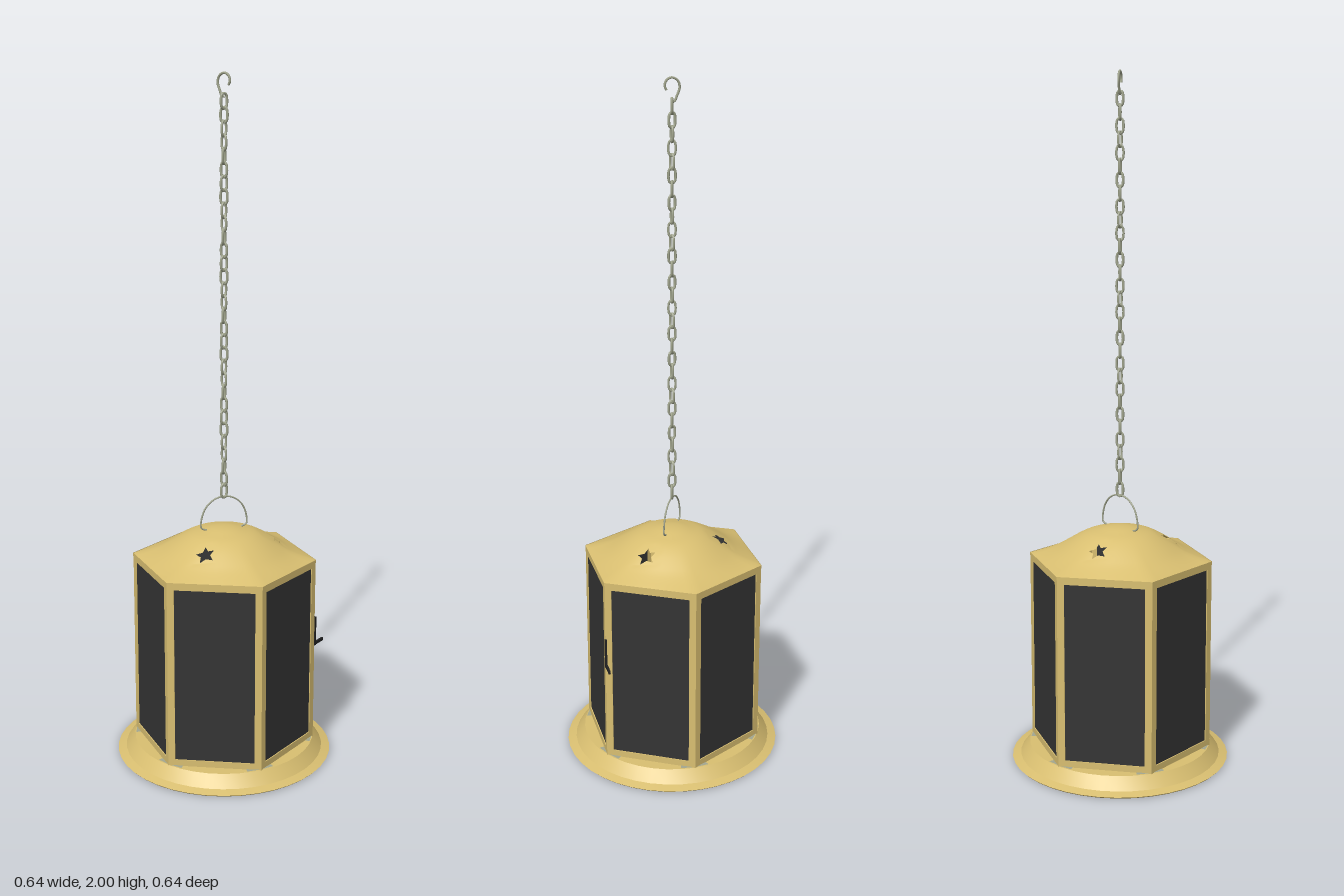
import * as THREE from 'three';
import { mergeVertices, toCreasedNormals } from 'three/addons/utils/BufferGeometryUtils.js';

const mat = (name, color, side = THREE.FrontSide) => {
  const m = new THREE.MeshStandardMaterial({ color, side });
  m.name = name;
  return m;
};
const V = (x, y) => new THREE.Vector2(x, y);
const R = 0.271, APOTHEM = R * Math.cos(Math.PI / 6);

// Roof height by fraction of the way from the centre to the hexagonal eave
const roofProfile = new THREE.CatmullRomCurve3(
  [0.704, 0.702, 0.695, 0.687, 0.672, 0.653, 0.634, 0.62, 0.609].map((y, i) => new THREE.Vector3(i / 8, y, 0)));

// Maps (angle, fraction) to the roof surface, round in the middle and hexagonal at the eave
function roofPoint(a, t) {
  const sector = Math.PI / 3;
  const local = ((a % sector) + sector) % sector - sector / 2;
  const hex = APOTHEM / Math.cos(local);
  const r = t * THREE.MathUtils.lerp(0.253, hex, t ** 4);
  const y = roofProfile.getPoint(Math.min(1, Math.max(0, t))).y;
  return [r * Math.cos(a), y, r * Math.sin(a)];
}

// Roof shell laid out flat as cells, with three star holes, then bent into shape
function roofGeometry() {
  const NA = 72, NT = 20, da = Math.PI * 2 / NA, dt = 1 / NT, half = 3, t0 = 11;
  const starCells = [9, 33, 57];
  const shapes = [];
  for (let i = 0; i < NA; i++) for (let j = 0; j < NT; j++) {
    const inStar = starCells.some(s => i >= s - half && i < s + half) && j >= t0 - half && j < t0 + half;
    if (inStar) continue;
    shapes.push(new THREE.Shape([V(i, j), V(i + 1, j), V(i + 1, j + 1), V(i, j + 1)].map(p => V(p.x * da, p.y * dt))));
  }
  for (const s of starCells) {
    const edge = [];
    for (let k = -half; k < half; k++) edge.push(V(k, -half));
    const outline = [];
    for (let side = 0; side < 4; side++) {
      const c = [1, 0, -1, 0][side], n = [0, 1, 0, -1][side];
      edge.forEach(p => outline.push(V((s + p.x * c - p.y * n) * da, (t0 + p.x * n + p.y * c) * dt)));
    }
    const patch = new THREE.Shape(outline);
    const star = [];
    for (let k = 0; k < 10; k++) {
      const r = k % 2 ? 0.0135 : 0.028, a = k * Math.PI / 5 + 0.1;
      star.push(V(s * da + r * Math.cos(a) / 0.143, (t0 + 0.4) * dt + r * Math.sin(a) / 0.26));
    }
    patch.holes.push(new THREE.Path(star));
    shapes.push(patch);
  }
  let g = new THREE.ShapeGeometry(shapes);
  const p = g.attributes.position;
  for (let i = 0; i < p.count; i++) p.setXYZ(i, ...roofPoint(p.getX(i), p.getY(i)));
  g.deleteAttribute('uv');
  g.deleteAttribute('normal');
  g = mergeVertices(g, 1e-5);
  g.computeVertexNormals();
  return g;
}

export function createModel() {
  const model = new THREE.Group();
  const gold = mat('gold metal', 0xd9bf71, THREE.DoubleSide);
  const dark = mat('dark panel', 0x343434);
  const black = mat('black latch', 0x222222);
  const steel = mat('pale steel', 0xa3a78f);

  const add = (name, geometry, material, parent = model) => {
    const m = new THREE.Mesh(geometry, material);
    m.name = name;
    parent.add(m);
    return m;
  };
  const wire = (points, radius, closed, steps) =>
    new THREE.TubeGeometry(new THREE.CatmullRomCurve3(points.map(p => new THREE.Vector3(...p)), closed), steps, radius, 6, closed);

  // Dished base with a flat flange, open underneath
  const base = [[0.318, 0], [0.322, 0.004], [0.297, 0.011], [0.27, 0.045], [0, 0.045]];
  add('base', toCreasedNormals(new THREE.LatheGeometry(base.map(p => V(...p)), 40), 0.4), gold);
  const boss = add('baseBoss', new THREE.TorusGeometry(0.016, 0.004, 6, 20), gold);
  boss.rotation.x = Math.PI / 2;
  boss.position.y = 0.042;

  // Six framed panels, each with a pair of solder slivers where its left corner meets the base
  const W = R / 2, bottom = 0.044, top = 0.608, border = 0.02;
  const frame = new THREE.Shape([V(-W, bottom), V(W, bottom), V(W, top), V(-W, top)]);
  const w = W - border, b = bottom + border, t = top - border;
  frame.holes.push(new THREE.Path([V(-w, b), V(-w, t), V(w, t), V(w, b)]));
  const frameGeometry = new THREE.ExtrudeGeometry(frame, { depth: 0.008, bevelEnabled: false });
  const panelGeometry = new THREE.BoxGeometry(2 * w + 0.002, t - b + 0.002, 0.004);
  const sliver = [V(0.268, 0.004), V(0.264, 0.042), V(0.25, 0.038)];
  const sliverGeometry = new THREE.ShapeGeometry([sliver, sliver.map(p => V(p.x, -p.y))].map(s => new THREE.Shape(s)));
  sliverGeometry.rotateX(-Math.PI / 2).rotateY(-Math.PI / 6 + Math.PI / 6);
  for (let i = 0; i < 6; i++) {
    const side = new THREE.Group();
    side.name = 'side' + (i + 1);
    side.rotation.y = i * Math.PI / 3;
    add('sideFrame', frameGeometry, gold, side).position.z = APOTHEM - 0.008;
    add('sidePanel', panelGeometry, dark, side).position.set(0, (b + t) / 2, APOTHEM - 0.005);
    add('cornerSolder', sliverGeometry, steel, side).position.y = 0.0465;
    model.add(side);
  }

  // Roof and its narrow eave
  add('roof', roofGeometry(), gold);
  const eave = new THREE.CylinderGeometry(R + 0.001, R + 0.001, 0.01, 6, 1, true, Math.PI / 6);
  add('eave', toCreasedNormals(eave, 0.4), gold).position.y = 0.605;

  // Door latch on the front left corner
  add('latchPlate', new THREE.BoxGeometry(0.007, 0.09, 0.006), black).position.set(0.138, 0.385, 0.234);
  add('latchPin', new THREE.BoxGeometry(0.046, 0.009, 0.006), black).position.set(0.159, 0.345, 0.233);

  // Wire bail over the roof
  const bail = [[-0.054, 0.698, 0], [-0.07, 0.705, 0], [-0.07, 0.73, 0], [-0.057, 0.765, 0], [-0.032, 0.788, 0], [0, 0.796, 0]];
  const mirrored = bail.slice(0, -1).reverse().map(([x, y, z]) => [-x, y, z]);
  add('bail', wire([...bail, ...mirrored], 0.0026, false, 48), steel).rotation.y = -0.59;

  // Chain of alternating links
  const chain = new THREE.Group();
  chain.name = 'chain';
  const link = wire([[0.0095, -0.009, 0], [0.0095, 0.009, 0], [0.007, 0.017, 0], [0, 0.021, 0], [-0.007, 0.017, 0],
    [-0.0095, 0.009, 0], [-0.0095, -0.009, 0], [-0.007, -0.017, 0], [0, -0.021, 0], [0.007, -0.017, 0]], 0.0038, true, 20);
  const count = 31, low = 0.813, high = 1.922;
  for (let i = 0; i < count; i++) {
    const m = add('chainLink', link, steel, chain);
    m.position.y = low + (high - low) * i / (count - 1);
    m.rotation.y = i * Math.PI / 2 + (i % 3 - 1) * 0.3;
  }
  model.add(chain);

  // Hanging hook
  add('hook', wire([[0, 1.935, 0.004], [0, 1.934, -0.006], [0, 1.95, -0.014], [0, 1.97, -0.021], [0, 1.988, -0.016],
    [0, 1.9965, 0], [0, 1.99, 0.015], [0, 1.975, 0.02], [0, 1.964, 0.015]], 0.0035, false, 32), steel);
  return model;
}
